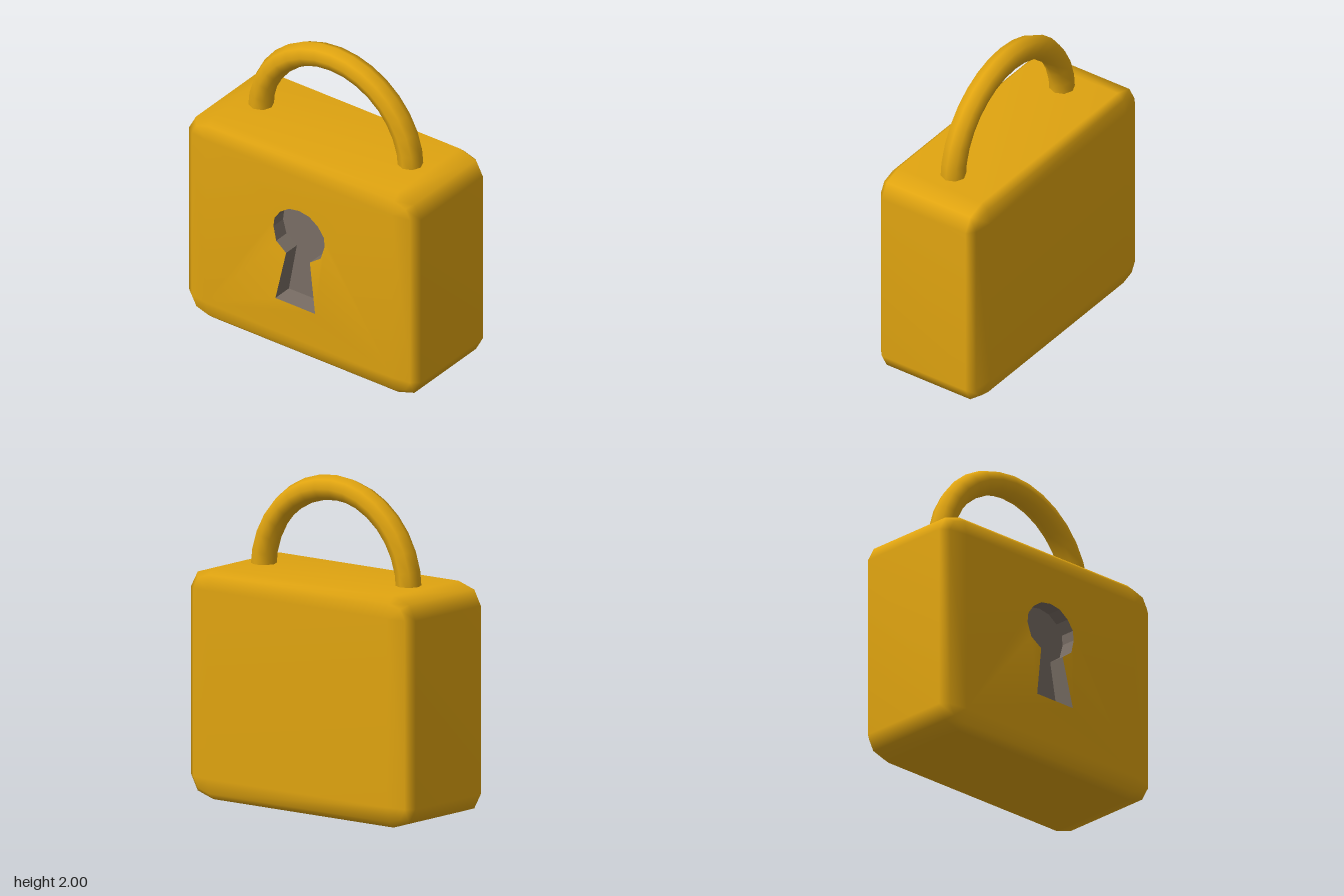
import * as THREE from 'three';
import { mergeVertices } from 'three/addons/utils/BufferGeometryUtils.js';

const FRONT = 0.345, BACK = -0.385, FLOOR = 0.25;
const CORE = { x: 0.69, y0: 0.13, y1: 1.27 };   // flat area inside the bevels
const BEVEL = { x: 0.17, y: 0.13, z: 0.06 };

// Keyhole outline, right half from bottom to top, then mirrored (counter-clockwise)
const half = [[0.147, 0.39], [0.088, 0.715], [0.165, 0.77], [0.19, 0.86], [0.183, 0.92], [0.14, 0.98], [0.075, 1.025]];
const keyhole = [...half, [0, 1.038], ...half.map(([x, y]) => [-x, y]).reverse()]
  .map(([x, y]) => new THREE.Vector2(x, y));

// The front swells out towards the foot of the keyhole
const swell = (y) => FRONT + 0.038 * Math.max(0, (0.85 - y) / 0.46);

function geometryFrom(points) {
  const g = new THREE.BufferGeometry();
  g.setAttribute('position', new THREE.Float32BufferAttribute(points.flat(), 3));
  return g;
}

// Rounded-rectangle loop of the body at one bevel angle
function bodyLoop(phi, zCentre) {
  const loop = [];
  for (let corner = 0; corner < 4; corner++) {
    for (let step = 0; step < 3; step++) {
      const t = corner * Math.PI / 2 + step * Math.PI / 4;
      const right = corner === 0 || corner === 3, top = corner < 2;
      loop.push([
        (right ? CORE.x : -CORE.x) + BEVEL.x * Math.cos(phi) * Math.cos(t),
        (top ? CORE.y1 : CORE.y0) + BEVEL.y * Math.cos(phi) * Math.sin(t),
        zCentre + BEVEL.z * Math.sin(phi),
      ]);
    }
  }
  return loop;
}

function bodyGeometry() {
  const tris = [];
  const back = BACK + BEVEL.z, front = FRONT - BEVEL.z, q = Math.PI / 4;
  const loops = [
    bodyLoop(-2 * q, back), bodyLoop(-q, back), bodyLoop(0, back),
    bodyLoop(0, front), bodyLoop(q, front), bodyLoop(2 * q, front),
  ];
  // Sides and bevels
  for (let i = 0; i < loops.length - 1; i++) {
    for (let j = 0; j < 12; j++) {
      const k = (j + 1) % 12;
      const a = loops[i][j], b = loops[i][k], c = loops[i + 1][k], d = loops[i + 1][j];
      tris.push(a, b, c, a, c, d);
    }
  }
  // Back panel
  const rim = [[CORE.x, CORE.y1], [-CORE.x, CORE.y1], [-CORE.x, CORE.y0], [CORE.x, CORE.y0]];
  const [p, r, s, t] = rim.map(([x, y]) => [x, y, BACK]);
  tris.push(p, s, r, p, t, s);
  // Front panel around the keyhole
  const contour = rim.map(([x, y]) => new THREE.Vector2(x, y));
  const hole = [...keyhole].reverse();
  const verts = [...rim.map(([x, y]) => [x, y, FRONT]), ...hole.map((v) => [v.x, v.y, swell(v.y)])];
  for (const face of THREE.ShapeUtils.triangulateShape(contour, [hole])) {
    tris.push(...face.map((i) => verts[i]));
  }
  const g = mergeVertices(geometryFrom(tris), 1e-4);
  g.computeVertexNormals();
  return g;
}

// Inward-facing walls of the keyhole recess
function recessWalls() {
  const tris = [];
  keyhole.forEach((a, i) => {
    const b = keyhole[(i + 1) % keyhole.length];
    const af = [a.x, a.y, swell(a.y)], bf = [b.x, b.y, swell(b.y)];
    const ab = [a.x, a.y, FLOOR], bb = [b.x, b.y, FLOOR];
    tris.push(af, bf, ab, bf, bb, ab);
  });
  const g = geometryFrom(tris);
  g.computeVertexNormals();
  return g;
}

export function createModel() {
  const gold = new THREE.MeshStandardMaterial({ color: 0xe0a410 });
  gold.name = 'gold';
  const grey = new THREE.MeshStandardMaterial({ color: 0x796e65 });
  grey.name = 'warm grey';

  const group = new THREE.Group();
  group.name = 'padlock';
  const add = (name, geometry, material, parent = group) => {
    const mesh = new THREE.Mesh(geometry, material);
    mesh.name = name;
    parent.add(mesh);
    return mesh;
  };

  add('body', bodyGeometry(), gold);

  // Half-ring shackle, its ends sunk into the body
  const shackle = add('shackle', new THREE.TorusGeometry(0.557, 0.077, 8, 16, Math.PI), gold);
  shackle.position.set(0, 1.366, -0.018);

  // Recessed keyhole
  const recess = new THREE.Group();
  recess.name = 'keyhole';
  group.add(recess);
  add('keyholeWalls', recessWalls(), grey, recess);
  add('keyholeFloor', new THREE.ShapeGeometry(new THREE.Shape(keyhole)), grey, recess).position.z = FLOOR;

  return group;
}
